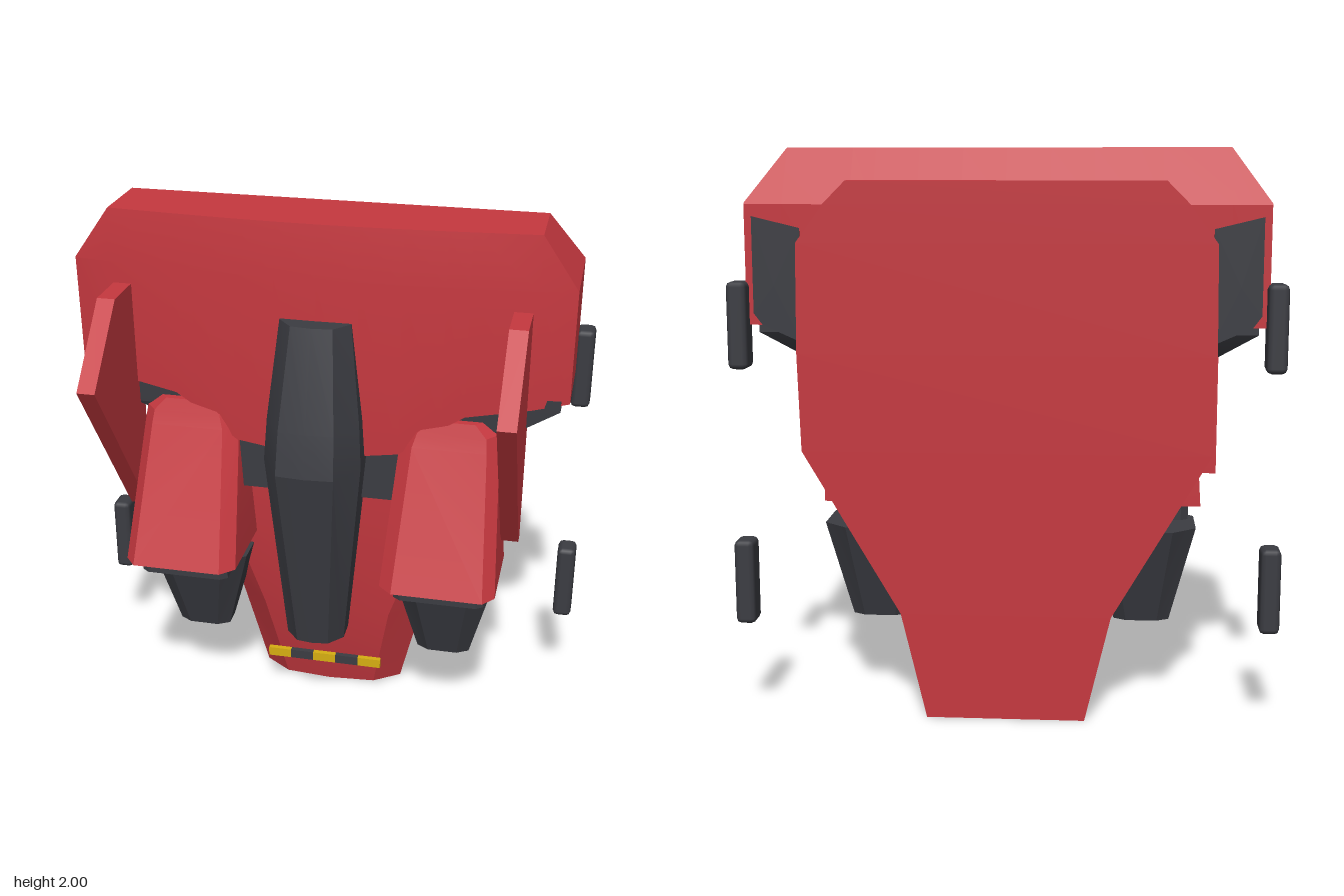
import * as THREE from 'three';
import { toCreasedNormals } from 'three/addons/utils/BufferGeometryUtils.js';
import { RoundedBoxGeometry } from 'three/addons/geometries/RoundedBoxGeometry.js';

const red = new THREE.MeshStandardMaterial({ color: 0xc5383f });
const dark = new THREE.MeshStandardMaterial({ color: 0x3b3c42 });
const yellow = new THREE.MeshStandardMaterial({ color: 0xd6ae12 });
red.name = 'red';
dark.name = 'dark grey';
yellow.name = 'yellow';

// Closed solid through equal-length rings of [x, y, z] points
function loft(rings) {
  const n = rings[0].length;
  const tris = [];
  const centre = (r) => [0, 1, 2].map((k) => r.reduce((s, p) => s + p[k], 0) / n);
  const first = rings[0], last = rings[rings.length - 1];
  const c0 = centre(first), c1 = centre(last);
  for (let j = 0; j < n; j++) {
    const k = (j + 1) % n;
    for (let i = 0; i < rings.length - 1; i++) {
      const a = rings[i], b = rings[i + 1];
      tris.push([a[j], a[k], b[k]], [a[j], b[k], b[j]]);
    }
    tris.push([c0, first[k], first[j]], [c1, last[j], last[k]]);
  }
  // Turn all faces outward
  const vec = (p) => new THREE.Vector3(...p);
  let volume = 0;
  for (const [a, b, c] of tris) volume += vec(a).dot(vec(b).cross(vec(c)));
  if (volume < 0) tris.forEach((t) => t.reverse());
  const geo = new THREE.BufferGeometry();
  geo.setAttribute('position', new THREE.Float32BufferAttribute(tris.flat(2), 3));
  return toCreasedNormals(geo, 0.3);
}

// Mirrored cross-section: half holds [x, z] pairs from back to front
function ring(y, half) {
  const right = half.map(([x, z]) => [x, y, z]);
  const left = half.filter(([x]) => x > 0).reverse().map(([x, z]) => [-x, y, z]);
  return [...right, ...left];
}

// Rectangle with cut corners
function octagon(y, x0, x1, z0, z1, cut) {
  const dx = (x1 - x0) * cut, dz = (z1 - z0) * cut;
  return [[x0 + dx, z0], [x1 - dx, z0], [x1, z0 + dz], [x1, z1 - dz],
    [x1 - dx, z1], [x0 + dx, z1], [x0, z1 - dz], [x0, z0 + dz]].map(([x, z]) => [x, y, z]);
}

export function createModel() {
  const group = new THREE.Group();
  const add = (name, geo, mat, x = 0, y = 0, z = 0) => {
    const mesh = new THREE.Mesh(geo, mat);
    mesh.name = name;
    mesh.position.set(x, y, z);
    group.add(mesh);
    return mesh;
  };

  // Tapered main body: y, half width, side edge z, front half width, front z
  const body = [
    [0, 0.28, -0.30, 0.18, -0.215],
    [0.38, 0.37, -0.25, 0.25, -0.125],
    [0.96, 0.71, -0.25, 0.45, -0.08],
    [1.3, 0.72, -0.25, 0.5, -0.08],
    [1.68, 0.715, -0.25, 0.5, -0.1],
    [1.81, 0.62, -0.28, 0.45, -0.15],
    [1.89, 0.54, -0.33, 0.4, -0.3],
  ];
  add('mainBody', loft(body.map(([y, w, zs, fw, zf]) =>
    ring(y, [[w, -0.386], [w, zs], [fw, zf - 0.015], [0, zf]]))), red);

  // Upper housing, swept across x: x, top y, front bottom y, front z
  const span = [
    [0.89, 1.815, 1.4, 0.0], [0.76, 2, 1.37, 0.015], [0.53, 2, 1.33, 0.034],
    [0.45, 2, 1.28, 0.04], [0.3, 2, 1.17, 0.05], [0.15, 2, 1.15, 0.056], [0, 2, 1.14, 0.058],
  ];
  const stations = [...span, ...span.slice(0, -1).reverse().map(([x, ...r]) => [-x, ...r])];
  add('upperHousing', loft(stations.map(([x, top, bottom, z]) => [
    [x, bottom, z - 0.015], [x, 1.81, z], [x, top, z - (top > 1.9 ? 0.02 : 0)],
    [x, top, top > 1.9 ? -0.27 : -0.377], [x, 1.81, -0.38], [x, 1.4, -0.38], [x, 1.4, -0.1],
  ])), red);

  // Dark frame beneath the housing, and the belly block
  add('underFrame', loft([
    [1.17, 0.48, -0.14, -0.05], [1.27, 0.7, -0.26, -0.01],
    [1.37, 0.86, -0.33, -0.005], [1.41, 0.86, -0.33, -0.005],
  ].map(([y, w, back, front]) => ring(y, [[w, back], [w, front]]))), dark);
  add('bellyBlock', new THREE.BoxGeometry(0.62, 0.22, 0.2), dark, 0, 1.08, -0.09);

  // Central dark spine: y, half width, front half width, front z
  const spine = [
    [0.38, 0.11, 0.06, 0.12], [1.14, 0.178, 0.105, 0.252],
    [1.3, 0.168, 0.1, 0.225], [1.66, 0.128, 0.075, 0.13],
  ];
  add('centralSpine', loft(spine.map(([y, w, fw, z]) =>
    ring(y, [[w, -0.03], [w, z * 0.45], [fw, z - 0.008], [0, z]]))), dark);

  for (const s of [1, -1]) {
    const side = s > 0 ? 'left' : 'right';
    const flip = (r) => r.map(([x, y, z]) => [x * s, y, z]);

    // Thruster cowl: y, inner x, outer x, back z, front z
    const cowl = [
      [0.72, 0.27, 0.69, -0.105, 0.26], [1.21, 0.3, 0.658, -0.105, 0.053],
      [1.26, 0.315, 0.652, -0.09, 0.035], [1.305, 0.36, 0.61, -0.06, 0.02],
    ];
    add(side + 'ThrusterCowl', loft(cowl.map(([y, a, b, z0, z1]) => flip(
      [[a, z0], [b, z0], [b, z1 - 0.05], [b - 0.04, z1], [a + 0.05, z1], [a, z1 - 0.05]]
        .map(([x, z]) => [x, y, z])))), red);

    // Collar and tapering nozzle
    add(side + 'Collar', loft([0.65, 0.725].map((y) =>
      flip(octagon(y, 0.315, 0.648, -0.07, 0.18, 0.08)))), dark);
    add(side + 'Nozzle', loft([
      flip(octagon(0.305, 0.38, 0.58, -0.165, -0.045, 0.22)),
      flip(octagon(0.66, 0.285, 0.67, -0.265, 0.075, 0.22)),
    ]), dark);

    // Side fin
    const fin = [[-0.06, 0.835], [-0.02, 0.835], [0.44, 1.48], [0.19, 1.735],
      [0.02, 1.735], [-0.03, 1.6], [-0.06, 1.3]];
    add(side + 'Fin', loft([0.68, 0.745].map((x) => fin.map(([z, y]) => [x * s, y, z]))), red);

    // Exposed dark panel beside the main body on the back
    const panel = [[0.70, 1.34], [0.835, 1.4], [0.865, 1.44], [0.865, 1.77], [0.70, 1.73]];
    add(side + 'BackPanel', loft([-0.383, -0.376].map((z) =>
      panel.map(([x, y]) => [x * s, y, z]))), dark);

    // Mounting pads
    for (const y of [1.4, 0.495]) {
      add(side + (y > 1 ? 'Upper' : 'Lower') + 'Pad',
        new RoundedBoxGeometry(0.07, 0.3, 0.1, 1, 0.018), dark, s * 0.915, y, -0.385);
    }
  }

  // Striped bar, five alternating segments
  for (let i = 0; i < 5; i++) {
    add('stripeSegment' + (i + 1), new THREE.BoxGeometry(0.091, 0.036, 0.02),
      i % 2 ? dark : yellow, (i - 2) * 0.091, 0.172, -0.108);
  }
  return group;
}
